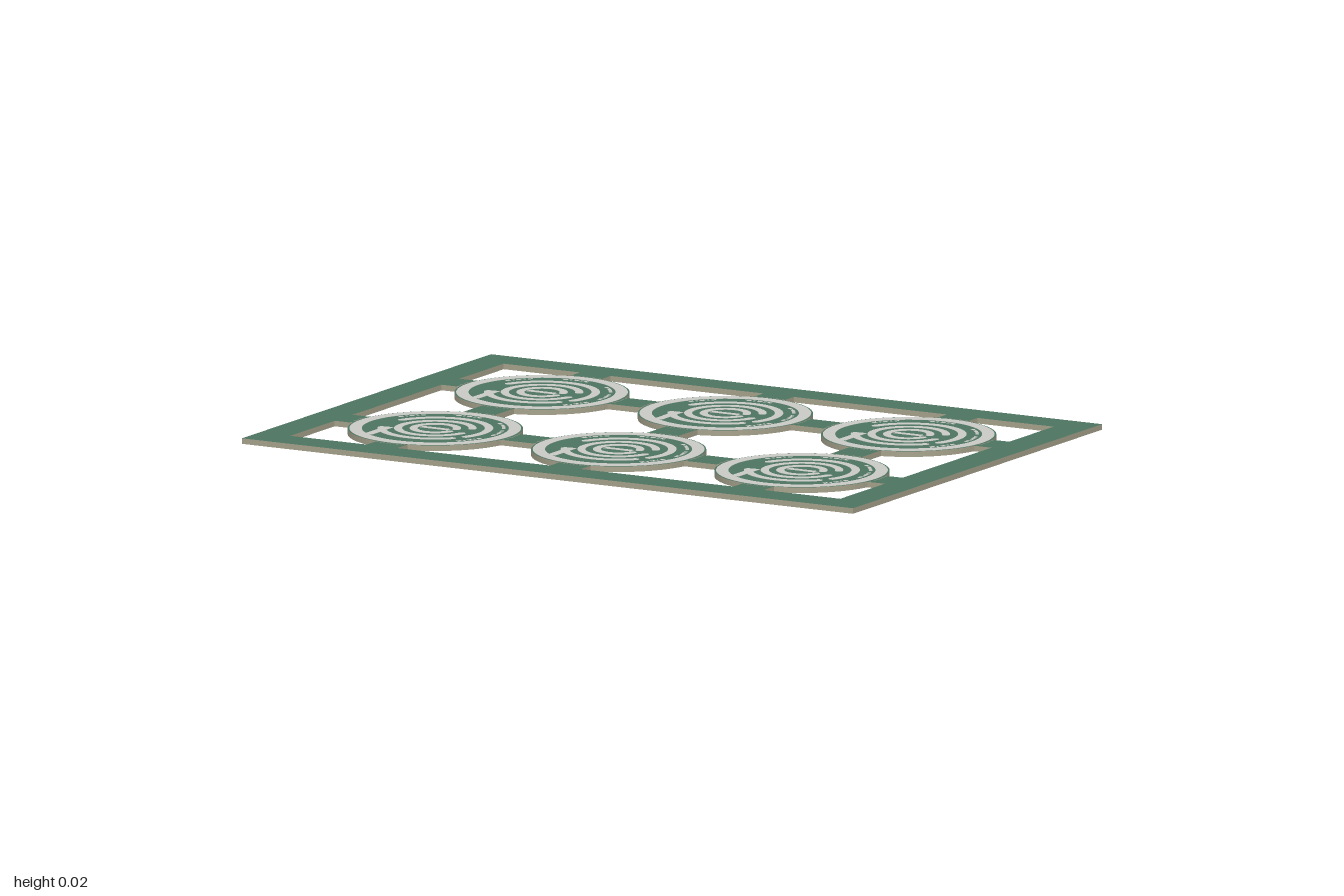
import * as THREE from 'three';
import { mergeGeometries } from 'three/addons/utils/BufferGeometryUtils.js';

const BASE = 0.0006, THICK = 0.016, TOP = BASE + THICK, INK = 0.0008;
const R = 0.248;
const rad = THREE.MathUtils.degToRad;

// Flat extrusion lying in the xz plane, starting at height y
function slab(shape, y, depth, curveSegments = 24) {
  const g = new THREE.ExtrudeGeometry(shape, { depth, bevelEnabled: false, curveSegments });
  return g.rotateX(-Math.PI / 2).translate(0, y, 0);
}

function rectPath(P, x0, y0, x1, y1) {
  const p = new P();
  p.moveTo(x0, y0);
  p.lineTo(x1, y0);
  p.lineTo(x1, y1);
  p.lineTo(x0, y1);
  p.closePath();
  return p;
}

// Arc track with rounded ends, angles in degrees
function track(r0, r1, from, to) {
  const a = rad(from), b = rad(to), m = (r0 + r1) / 2, w = (r1 - r0) / 2;
  const s = new THREE.Shape();
  s.absarc(0, 0, r1, a, b, false);
  s.absarc(m * Math.cos(b), m * Math.sin(b), w, b, b + Math.PI, false);
  s.absarc(0, 0, r0, b, a, true);
  s.absarc(m * Math.cos(a), m * Math.sin(a), w, a + Math.PI, a + 2 * Math.PI, false);
  return s;
}

function ring(r0, r1) {
  const s = new THREE.Shape().absarc(0, 0, r1, 0, Math.PI * 2, false);
  s.holes.push(new THREE.Path().absarc(0, 0, r0, 0, Math.PI * 2, true));
  return s;
}

// Break-off tab: curved inner end and a row of perforations along it
function tabShape() {
  const a = Math.asin(0.05 / R);
  const s = new THREE.Shape();
  s.moveTo(0.301, -0.05);
  s.lineTo(0.301, 0.05);
  s.absarc(0, 0, R, a, -a, true);
  s.closePath();
  for (let i = -4; i <= 4; i++) {
    const t = (i * 0.0108) / R, r = 0.2525;
    s.holes.push(new THREE.Path().absarc(r * Math.cos(t), r * Math.sin(t), 0.0034, 0, Math.PI * 2, true));
  }
  return s;
}

// Printed tracks on the top of one disc
function topPrint() {
  const parts = [
    slab(ring(0.208, 0.243), TOP, INK, 48),
    slab(track(0.14, 0.164, -25, 158), TOP, INK),
    slab(track(0.14, 0.164, 205, 318), TOP, INK),
    slab(track(0.094, 0.117, 25, 345), TOP, INK),
    slab(track(0.05, 0.073, 15, 340), TOP, INK),
    slab(rectPath(THREE.Shape, -0.045, -0.01, 0.045, 0.01), TOP, INK),
    slab(rectPath(THREE.Shape, -0.135, -0.17, -0.108, -0.05), TOP, INK),
  ];
  // Small marks around the green band
  for (const mid of [8, 40, 90, 140, 330]) {
    for (let i = -2; i <= 2; i++) {
      const mark = new THREE.BoxGeometry(0.01, INK, i % 2 ? 0.006 : 0.014);
      mark.translate(0.194, TOP + INK / 2, 0).rotateY(rad(mid + i * 5));
      parts.push(mark);
    }
  }
  return mergeGeometries(parts.map((g) => g.toNonIndexed ? (g.index ? g.toNonIndexed() : g) : g));
}

// Rows of fine dashes on the underside
function bottomPrint() {
  const parts = [];
  for (let row = 0; row < 3; row++) {
    for (let i = 0; i < 9; i++) {
      const w = 0.008 + ((i * 5 + row * 3) % 4) * 0.003;
      parts.push(new THREE.BoxGeometry(w, BASE, 0.003)
        .translate(-0.1 + i * 0.025, BASE / 2, -0.06 + row * 0.06));
    }
  }
  return mergeGeometries(parts);
}

export function createModel() {
  const green = new THREE.MeshStandardMaterial({ color: 0x4c7561 });
  green.name = 'green solder mask';
  const tan = new THREE.MeshStandardMaterial({ color: 0xa6a28c });
  tan.name = 'tan board edge';
  const silver = new THREE.MeshStandardMaterial({ color: 0xc9c9c5 });
  silver.name = 'light grey print';
  const board = [green, tan];

  const model = new THREE.Group();
  model.name = 'circuitPanel';
  const add = (parent, name, geometry, material) => {
    const mesh = new THREE.Mesh(geometry, material);
    mesh.name = name;
    parent.add(mesh);
    return mesh;
  };

  // Outer frame
  const frame = rectPath(THREE.Shape, -1, -0.7, 1, 0.7);
  frame.holes.push(rectPath(THREE.Path, -0.9, -0.6, 0.9, 0.6));
  add(model, 'frame', slab(frame, BASE, THICK), board);

  // Six round boards, each with four tabs
  const discGeo = slab(new THREE.Shape().absarc(0, 0, R, 0, Math.PI * 2, false), BASE, THICK, 48);
  const tabGeo = slab(tabShape(), BASE, THICK, 6);
  const topGeo = topPrint();
  const bottomGeo = bottomPrint();
  for (const z of [-0.3, 0.3]) {
    for (const x of [-0.6, 0, 0.6]) {
      const unit = new THREE.Group();
      unit.name = 'roundBoard';
      unit.position.set(x, 0, z);
      add(unit, 'disc', discGeo, board);
      add(unit, 'topTracks', topGeo, silver);
      add(unit, 'bottomMarks', bottomGeo, silver);
      for (let i = 0; i < 4; i++) {
        add(unit, 'breakOffTab', tabGeo, board).rotation.y = (i * Math.PI) / 2;
      }
      model.add(unit);
    }
  }
  return model;
}
